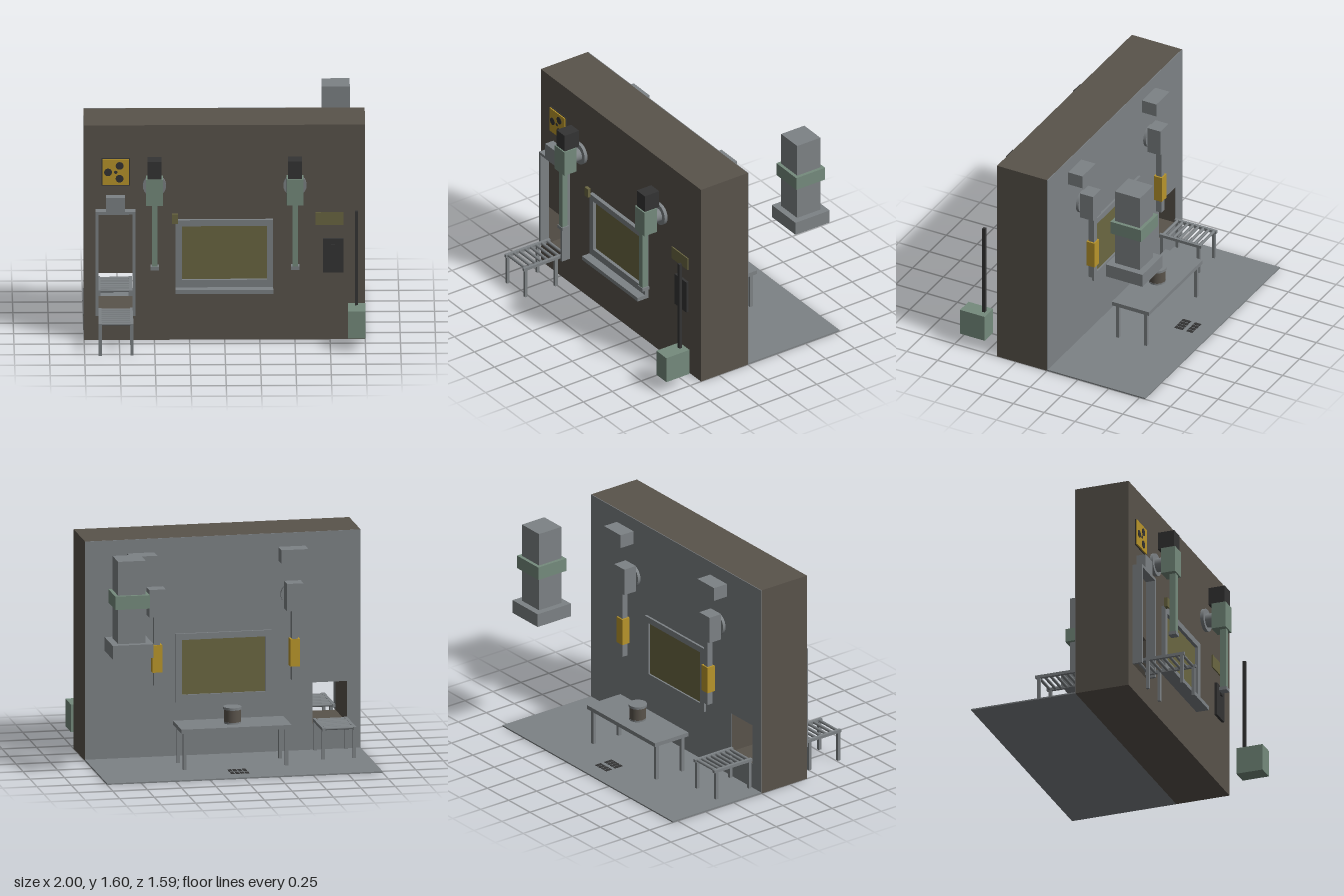
import * as THREE from 'three';

const mat = (name, color, extra = {}) => {
  const m = new THREE.MeshStandardMaterial({ color, ...extra });
  m.name = name;
  return m;
};

export function createModel() {
  const root = new THREE.Group();
  root.name = 'shieldedCell';
  const concrete = mat('brownConcrete', 0x59534b);
  const steel = mat('greySteel', 0x7d8285);
  const green = mat('paleGreen', 0x758b7d);
  const black = mat('charcoal', 0x343434);
  const yellow = mat('yellow', 0xb8952b);
  const glass = mat('oliveGlass', 0x6b6742);

  const group = (name, parent = root) => {
    const g = new THREE.Group();
    g.name = name;
    parent.add(g);
    return g;
  };
  // Box from its limits on each axis
  const box = (name, m, [x0, x1], [y0, y1], [z0, z1], parent = root) => {
    const mesh = new THREE.Mesh(new THREE.BoxGeometry(x1 - x0, y1 - y0, z1 - z0), m);
    mesh.position.set((x0 + x1) / 2, (y0 + y1) / 2, (z0 + z1) / 2);
    mesh.name = name;
    parent.add(mesh);
    return mesh;
  };
  // Cylinder centred at (x, y, z) along the given axis
  const cyl = (name, m, r, len, x, y, z, axis, parent = root, sides = 24) => {
    const mesh = new THREE.Mesh(new THREE.CylinderGeometry(r, r, len, sides), m);
    if (axis === 'x') mesh.rotation.z = Math.PI / 2;
    if (axis === 'z') mesh.rotation.x = Math.PI / 2;
    mesh.position.set(x, y, z);
    mesh.name = name;
    parent.add(mesh);
    return mesh;
  };

  // Wall with the transfer opening cut through it
  const slab = (name, m, z0, z1) => {
    const s = new THREE.Shape([[-1, 0], [1, 0], [1, 1.6], [-1, 1.6]].map(p => new THREE.Vector2(...p)));
    s.holes.push(new THREE.Path([[-0.9, 0.2], [-0.9, 0.5], [-0.65, 0.5], [-0.65, 0.2]].map(p => new THREE.Vector2(...p))));
    const mesh = new THREE.Mesh(new THREE.ExtrudeGeometry(s, { depth: z1 - z0, bevelEnabled: false }), m);
    mesh.position.z = z0;
    mesh.name = name;
    root.add(mesh);
  };
  slab('wall', concrete, 0, 0.405);
  slab('innerLining', steel, -0.005, 0);
  box('cellFloor', steel, [-1, 1], [0, 0.01], [-0.795, -0.005]);

  // Viewing window: a frame and a pane on both sides, sill at the front
  const win = group('window');
  const frame = (name, z) => {
    const g = group(name, win);
    box('frameBottom', steel, [-0.35, 0.345], [0.4, 0.455], z, g);
    box('frameTop', steel, [-0.35, 0.345], [0.855, 0.9], z, g);
    box('frameSide', steel, [-0.35, -0.305], [0.455, 0.855], z, g);
    box('frameSide', steel, [0.3, 0.345], [0.455, 0.855], z, g);
  };
  frame('frontFrame', [0.405, 0.435]);
  frame('rearFrame', [-0.022, -0.005]);
  box('frontPane', glass, [-0.305, 0.3], [0.455, 0.855], [0.405, 0.41], win);
  box('rearPane', glass, [-0.305, 0.3], [0.455, 0.855], [-0.009, -0.005], win);
  box('sill', steel, [-0.35, 0.345], [0.37, 0.4], [0.405, 0.5], win);
  box('doseMeter', glass, [-0.375, -0.333], [0.88, 0.95], [0.436, 0.46], win);

  // Sliding door track with a motor above
  const door = group('doorTrack');
  for (const x of [-0.92, -0.655]) box('guideRail', steel, [x, x + 0.02], [0.2, 0.955], [0.405, 0.475], door);
  box('header', steel, [-0.92, -0.635], [0.955, 0.975], [0.405, 0.475], door);
  box('motor', steel, [-0.845, -0.71], [0.975, 1.08], [0.405, 0.475], door);

  // Roller tables on both sides of the opening
  const rollerTable = (name, z0, z1, legs, count) => {
    const g = group(name);
    for (const x of [-0.9, -0.675]) {
      box('sideRail', steel, [x, x + 0.022], [0.218, 0.24], [z0, z1], g);
      for (const z of legs) box('leg', steel, [x, x + 0.022], [0, 0.218], [z - 0.011, z + 0.011], g);
    }
    for (let i = 0; i < count; i++) {
      const z = z0 + ((z1 - z0) * (i + 0.5)) / count;
      cyl('roller', steel, 0.011, 0.21, -0.777, 0.231, z, 'x', g, 12);
    }
  };
  rollerTable('frontRollerTable', 0.405, 0.79, [0.51, 0.77], 8);
  rollerTable('rearRollerTable', -0.345, -0.006, [-0.025, -0.32], 8);

  // Through-wall manipulators with lamps inside
  for (const x of [-0.5, 0.5]) {
    const g = group('manipulator');
    const w = h => [x - h, x + h];
    cyl('frontFlange', steel, 0.083, 0.025, x, 1.155, 0.417, 'z', g);
    cyl('frontSleeve', steel, 0.05, 0.06, x, 1.15, 0.458, 'z', g);
    box('controlBody', green, w(0.06), [1.055, 1.25], [0.483, 0.59], g);
    box('drive', black, w(0.05), [1.25, 1.38], [0.455, 0.58], g);
    box('controlArm', green, w(0.02), [0.6, 1.055], [0.533, 0.58], g);
    box('grip', steel, w(0.03), [0.575, 0.6], [0.527, 0.585], g);
    cyl('rearFlange', steel, 0.083, 0.025, x, 1.155, -0.015, 'z', g);
    box('workBody', steel, w(0.06), [1.055, 1.255], [-0.132, -0.028], g);
    box('workArm', steel, w(0.022), [0.55, 1.055], [-0.12, -0.075], g);
    box('armSleeve', yellow, w(0.035), [0.65, 0.85], [-0.13, -0.065], g);
  }
  for (const x of [-0.5, 0.597]) {
    const g = group('lamp');
    box('lampHousing', steel, [x - 0.098, x + 0.098], [1.4, 1.5], [-0.12, -0.005], g);
    box('lampLens', steel, [x - 0.08, x + 0.08], [1.392, 1.4], [-0.105, -0.02], g);
  }

  // Warning plate
  const sign = group('warningPlate');
  box('plate', yellow, [-0.87, -0.68], [1.16, 1.35], [0.412, 0.421], sign);
  box('backing', black, [-0.875, -0.675], [1.155, 1.355], [0.405, 0.412], sign);
  cyl('centreDot', black, 0.012, 0.004, -0.775, 1.255, 0.422, 'z', sign, 16);
  for (let i = 0; i < 3; i++) {
    const a = Math.PI + (i * Math.PI * 2) / 3;
    cyl('lobe', black, 0.028, 0.004, -0.775 + 0.055 * Math.cos(a), 1.255 + 0.055 * Math.sin(a), 0.422, 'z', sign);
  }

  // Switch cabinet, label plate and floor-standing post
  box('switchCabinet', black, [0.7, 0.845], [0.505, 0.755], [0.405, 0.425]);
  box('cabinetHandle', black, [0.755, 0.785], [0.68, 0.715], [0.425, 0.437]);
  box('labelPlate', glass, [0.645, 0.845], [0.855, 0.95], [0.405, 0.414]);
  box('postBox', green, [0.875, 1], [0.1, 0.3], [0.505, 0.705]);
  box('post', black, [0.925, 0.947], [0.3, 1], [0.533, 0.555]);

  // Work table with a canister
  const table = group('workTable');
  box('tableTop', steel, [-0.4, 0.4], [0.28, 0.31], [-0.497, -0.197], table);
  for (const x of [-0.37, 0.37]) for (const z of [-0.233, -0.46])
    box('tableLeg', steel, [x - 0.012, x + 0.012], [0.01, 0.28], [z - 0.012, z + 0.012], table);
  const can = group('canister');
  cyl('canBase', steel, 0.061, 0.012, 0, 0.316, -0.347, 'y', can);
  cyl('canBody', concrete, 0.06, 0.1, 0, 0.365, -0.347, 'y', can);
  cyl('canLid', steel, 0.066, 0.018, 0, 0.421, -0.347, 'y', can);

  // Hanging ventilation duct
  const duct = group('duct');
  const square = (name, m, h, y) => box(name, m, [0.8 - h, 0.8 + h], y, [-0.597 - h, -0.597 + h], duct);
  square('ductShaft', steel, 0.1, [1, 1.6]);
  square('ductHood', steel, 0.148, [0.9, 1]);
  square('filterBand', green, 0.125, [1.255, 1.353]);

  // Floor drain slots
  const drain = group('floorDrain');
  for (let i = 0; i < 4; i++) {
    const x = -0.058 + i * 0.035;
    box('slot', black, [x, x + 0.026], [0.01, 0.013], [-0.672, -0.622], drain);
    box('slot', black, [x, x + 0.026], [0.01, 0.013], [-0.592, -0.525], drain);
  }
  return root;
}
